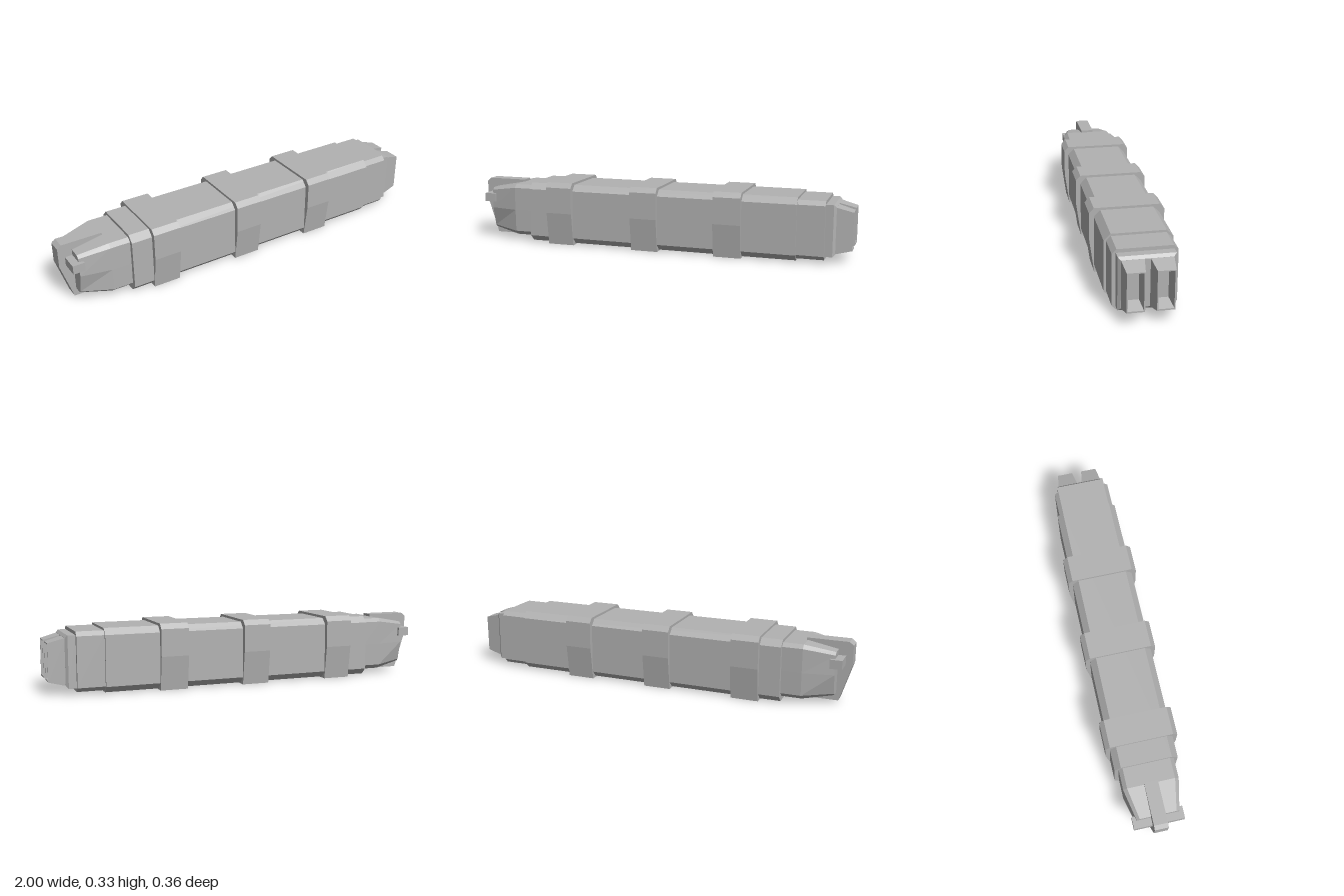
import * as THREE from 'three';

const grey = new THREE.MeshStandardMaterial({ color: 0xb2b2b2, flatShading: true });
grey.name = 'grey';

// Closed cross-section at x from a half profile of [z, y] points, bottom to top
function section(x, half, cz = 0) {
  const right = half.map(([z, y]) => [x, y, cz + z]);
  const left = half.map(([z, y]) => [x, y, cz - z]).reverse();
  return [...right, ...left];
}
const rect = (w, y0, y1) => [[w, y0], [w, y1]];
const octagon = (w, y0, y1, c) => [[w - c, y0], [w, y0 + c], [w, y1 - c], [w - c, y1]];

// Skins a row of sections along x and caps both ends
function loft(name, sections) {
  const pos = [];
  const tri = (a, b, c) => pos.push(...a, ...b, ...c);
  const n = sections[0].length;
  for (let s = 0; s < sections.length - 1; s++) {
    const a = sections[s], b = sections[s + 1];
    for (let i = 0; i < n; i++) {
      const j = (i + 1) % n;
      tri(a[i], b[i], b[j]);
      tri(a[i], b[j], a[j]);
    }
  }
  const first = sections[0], last = sections[sections.length - 1];
  for (let i = 1; i < n - 1; i++) {
    tri(first[0], first[i], first[i + 1]);
    tri(last[0], last[i + 1], last[i]);
  }
  const geo = new THREE.BufferGeometry();
  geo.setAttribute('position', new THREE.Float32BufferAttribute(pos, 3));
  geo.computeVertexNormals();
  const mesh = new THREE.Mesh(geo, grey);
  mesh.name = name;
  return mesh;
}

const prism = (name, x0, x1, half) => loft(name, [section(x0, half), section(x1, half)]);

export function createModel() {
  const model = new THREE.Group();
  model.name = 'casing';

  // Long chamfered body and the slimmer collar beyond it
  model.add(prism('body', -0.68, 0.735, octagon(0.157, 0.006, 0.318, 0.031)));
  model.add(prism('collar', 0.735, 0.87, octagon(0.146, 0.017, 0.307, 0.021)));

  // Three raised bands that narrow towards the base
  const bandHalf = [[0.157, 0], [0.18, 0.17], [0.18, 0.305], [0.157, 0.33]];
  for (const x of [-0.505, -0.04, 0.395]) {
    model.add(prism('band', x - 0.07, x + 0.07, bandHalf));
  }

  // Bevelled socket block
  model.add(loft('socketBlock', [
    section(0.87, rect(0.128, 0.035, 0.29)),
    section(0.908, rect(0.128, 0.035, 0.29)),
    section(0.92, rect(0.115, 0.048, 0.277)),
  ]));

  // Pair of tapered hollow prongs
  for (const side of [-1, 1]) {
    model.add(loft('prong', [
      section(0.918, rect(0.051, 0.048, 0.277), side * 0.064),
      section(1, rect(0.04, 0.068, 0.255), side * 0.0655),
      section(1, rect(0.035, 0.075, 0.25), side * 0.0655),
      section(0.94, rect(0.024, 0.098, 0.228), side * 0.0645),
    ]));
  }

  // Tapered nose with a crease at mid height
  const nose = [[0.11, 0.028], [0.135, 0.05], [0.137, 0.165], [0.137, 0.285], [0.118, 0.303]];
  const tip = [[0.075, 0.055], [0.085, 0.065], [0.108, 0.165], [0.105, 0.262], [0.09, 0.275]];
  model.add(loft('nose', [section(-0.93, tip), section(-0.78, nose), section(-0.68, nose)]));

  // Upright fin through the nose
  const outline = [[-0.775, 0.015], [-0.775, 0.315], [-0.98, 0.315], [-1, 0.298], [-1, 0.2], [-0.942, 0.015]];
  const shape = new THREE.Shape(outline.map(([x, y]) => new THREE.Vector2(x, y)));
  const finGeo = new THREE.ExtrudeGeometry(shape, { depth: 0.068, bevelEnabled: false });
  finGeo.translate(0, 0, -0.034);
  const fin = new THREE.Mesh(finGeo, grey);
  fin.name = 'fin';
  model.add(fin);

  // Cross bar on the nose tip
  const bar = new THREE.Mesh(new THREE.BoxGeometry(0.06, 0.045, 0.25), grey);
  bar.name = 'crossBar';
  bar.position.set(-0.937, 0.223, 0);
  model.add(bar);

  return model;
}
